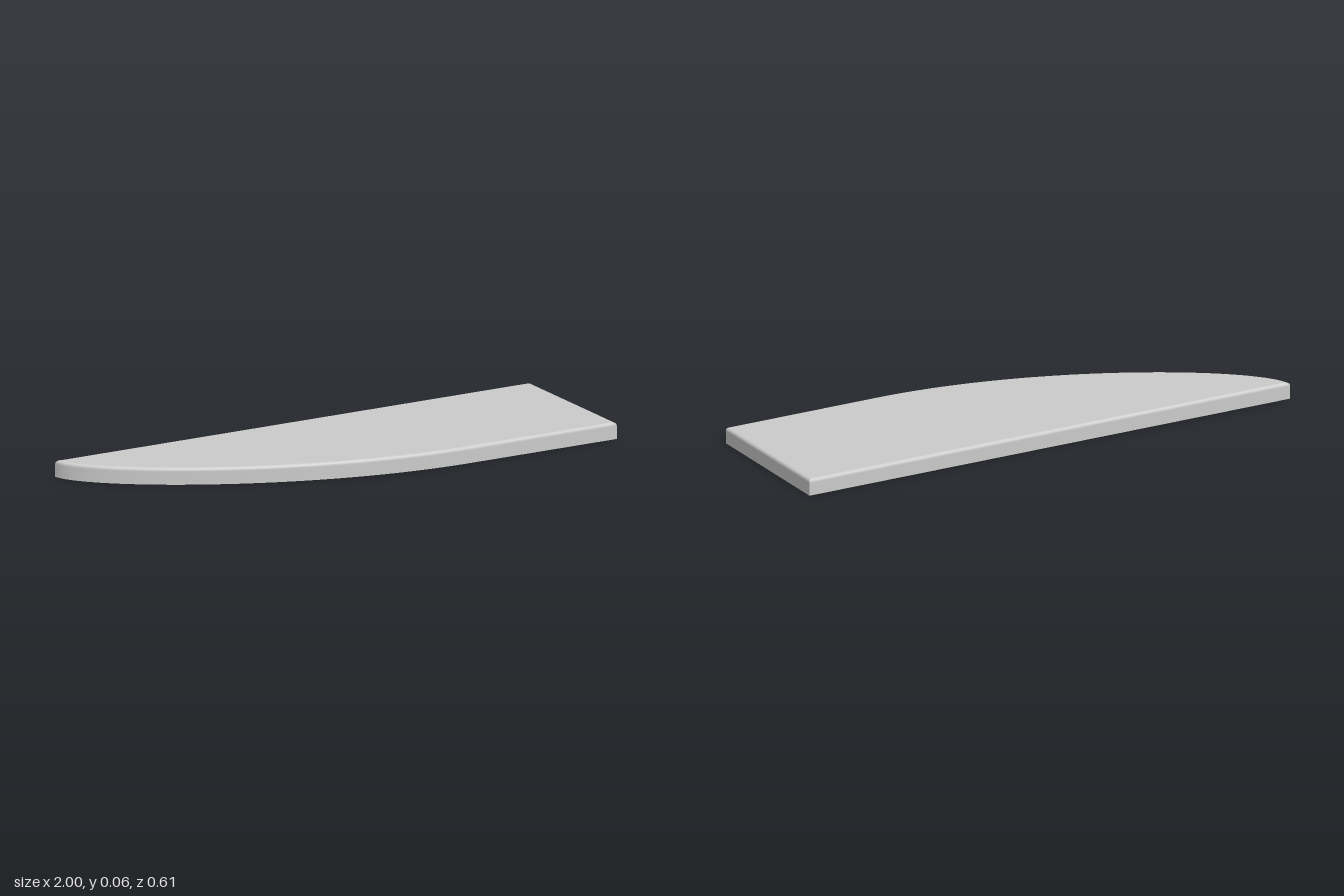
import * as THREE from 'three';

const HEIGHT = 0.0625;
const ROUND = 0.012;   // radius of the rounded top edge
const BACK = -0.308, FRONT = 0.306;

// Plan outline as Vector2(x, z): pointed tip, swept front curve, straight front, square end
function planOutline() {
  const sweep = new THREE.CubicBezierCurve(
    new THREE.Vector2(-1, BACK), new THREE.Vector2(-0.97, -0.11),
    new THREE.Vector2(-0.3, FRONT), new THREE.Vector2(0.38, FRONT));
  return [...sweep.getPoints(56), new THREE.Vector2(1, FRONT), new THREE.Vector2(1, BACK)];
}

// Move every edge of the outline inwards, mitring the corners
function inset(points, d) {
  const n = points.length;
  const normal = (a, b) => new THREE.Vector2(b.y - a.y, a.x - b.x).normalize();
  return points.map((p, i) => {
    const n1 = normal(points[(i + n - 1) % n], p);
    const n2 = normal(p, points[(i + 1) % n]);
    return n1.clone().add(n2).multiplyScalar(d / (1 + n1.dot(n2))).add(p);
  });
}

// One side wall, from the open bottom up over the rounded edge
function wallGeometry(rings, from, to, count) {
  const positions = [], index = [], cols = to - from + 1;
  rings.forEach(({ y, points }) => {
    for (let i = from; i <= to; i++) {
      const p = points[i % count];
      positions.push(p.x, y, p.y);
    }
  });
  for (let r = 0; r < rings.length - 1; r++) {
    for (let i = 0; i < cols - 1; i++) {
      const a = r * cols + i, b = a + 1, c = a + cols, d = c + 1;
      index.push(a, b, d, a, d, c);
    }
  }
  const geo = new THREE.BufferGeometry();
  geo.setAttribute('position', new THREE.Float32BufferAttribute(positions, 3));
  geo.setIndex(index);
  geo.computeVertexNormals();
  return geo;
}

export function createModel() {
  const group = new THREE.Group();
  group.name = 'curvedShelfPanel';
  const material = new THREE.MeshStandardMaterial({ color: 0xcccccc, side: THREE.DoubleSide });
  const add = (name, geo) => {
    const mesh = new THREE.Mesh(geo, material);
    mesh.name = name;
    group.add(mesh);
  };

  const outline = planOutline();
  const n = outline.length;

  // Rings: straight wall, then a quarter round into the top
  const rings = [0, HEIGHT - ROUND - 0.002].map(y => ({ y, points: outline }));
  const steps = 5;
  for (let k = 0; k <= steps; k++) {
    const a = (k / steps) * Math.PI / 2;
    rings.push({
      y: HEIGHT - ROUND * (1 - Math.sin(a)),
      points: inset(outline, ROUND * (1 - Math.cos(a))),
    });
  }

  // Walls meet in sharp upright corners
  add('frontWall', wallGeometry(rings, 0, n - 2, n));
  add('endWall', wallGeometry(rings, n - 2, n - 1, n));
  add('backWall', wallGeometry(rings, n - 1, n, n));

  // Flat top, open underneath
  const top = rings[rings.length - 1].points.map(p => new THREE.Vector2(p.x, -p.y));
  const topGeo = new THREE.ShapeGeometry(new THREE.Shape(top));
  topGeo.rotateX(-Math.PI / 2).translate(0, HEIGHT, 0);
  add('topPanel', topGeo);

  return group;
}
